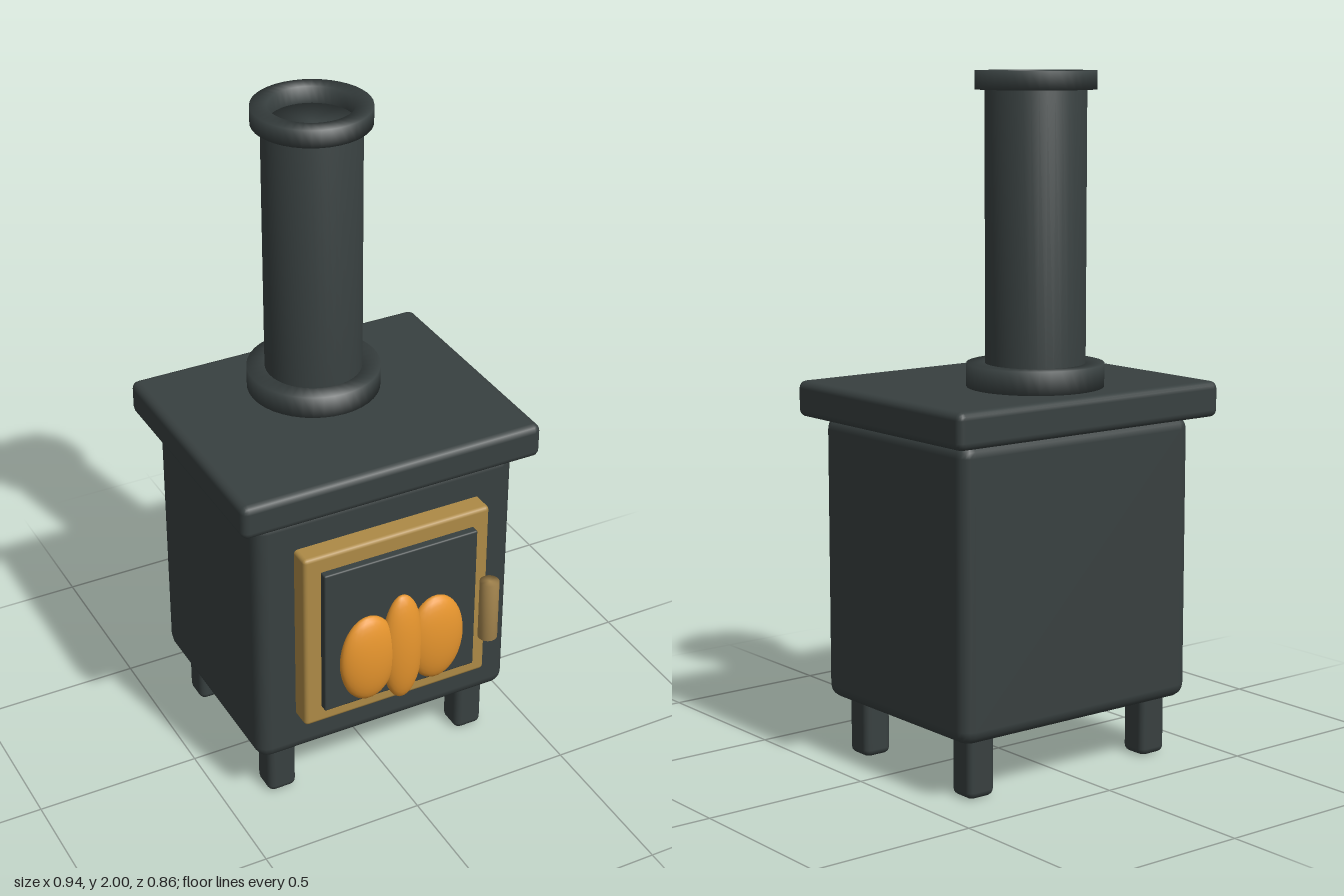
import * as THREE from 'three';
import { RoundedBoxGeometry } from 'three/addons/geometries/RoundedBoxGeometry.js';

export function createModel() {
  const stove = new THREE.Group();
  stove.name = 'woodStove';

  const paint = (name, color) => {
    const m = new THREE.MeshStandardMaterial({ color });
    m.name = name;
    return m;
  };
  const iron = paint('castIron', 0x384040);
  const brass = paint('brass', 0xad8a46);
  const handleBrass = paint('agedBrass', 0xa4854e);
  const fire = paint('flameOrange', 0xe8962e);

  const add = (name, geometry, material) => {
    const mesh = new THREE.Mesh(geometry, material);
    mesh.name = name;
    stove.add(mesh);
    return mesh;
  };

  // Rounded box given by its extents on each axis
  const box = (name, [x0, x1], [y0, y1], [z0, z1], bevel, material) => {
    const g = new RoundedBoxGeometry(x1 - x0, y1 - y0, z1 - z0, 2, bevel);
    g.translate((x0 + x1) / 2, (y0 + y1) / 2, (z0 + z1) / 2);
    return add(name, g, material);
  };

  // Turned part from radius and height pairs
  const turned = (name, profile, x, z, material) => {
    const points = profile.map(([r, y]) => new THREE.Vector2(r, y));
    const mesh = add(name, new THREE.LatheGeometry(points, 40), material);
    mesh.position.set(x, 0, z);
    return mesh;
  };

  // Firebox and overhanging top plate
  box('firebox', [-0.415, 0.415], [0.175, 1.015], [-0.375, 0.295], 0.04, iron);
  box('topPlate', [-0.472, 0.472], [1.01, 1.115], [-0.43, 0.342], 0.022, iron);

  // Four legs
  for (const x of [-0.32, 0.32]) {
    for (const z of [0.205, -0.288]) {
      box('leg', [x - 0.045, x + 0.045], [0.005, 0.24], [z - 0.045, z + 0.045], 0.02, iron);
    }
  }

  // Chimney pipe, base collar and open rim
  const pipeZ = -0.168;
  turned('chimneyPipe', [[0.143, 1.1], [0.143, 1.95], [0, 1.95]], 0, pipeZ, iron);
  const ring = (name, inner, outer, y0, y1) => turned(
    name, [[inner, y0], [outer, y0], [outer, y1], [inner, y1], [inner, y0]], 0, pipeZ, iron);
  ring('baseCollar', 0.13, 0.196, 1.112, 1.182);
  ring('chimneyRim', 0.122, 0.171, 1.948, 2);

  // Door frame and window plate
  box('doorFrame', [-0.298, 0.298], [0.315, 0.9], [0.28, 0.358], 0.012, brass);
  box('doorWindow', [-0.246, 0.246], [0.37, 0.847], [0.3, 0.382], 0.005, iron);

  // Flames: a tall one between two broad ones
  for (const [x, y, rx, ry] of [[-0.11, 0.523, 0.09, 0.145], [0, 0.525, 0.066, 0.182], [0.11, 0.523, 0.09, 0.145]]) {
    const flame = add('flame', new THREE.IcosahedronGeometry(1, 5), fire);
    flame.scale.set(rx, ry, 0.04);
    flame.position.set(x, y, 0.388);
  }

  // Upright door handle
  turned('doorHandle',
    [[0, 0.473], [0.029, 0.473], [0.029, 0.67], [0, 0.67]], 0.281, 0.4, handleBrass);

  return stove;
}
